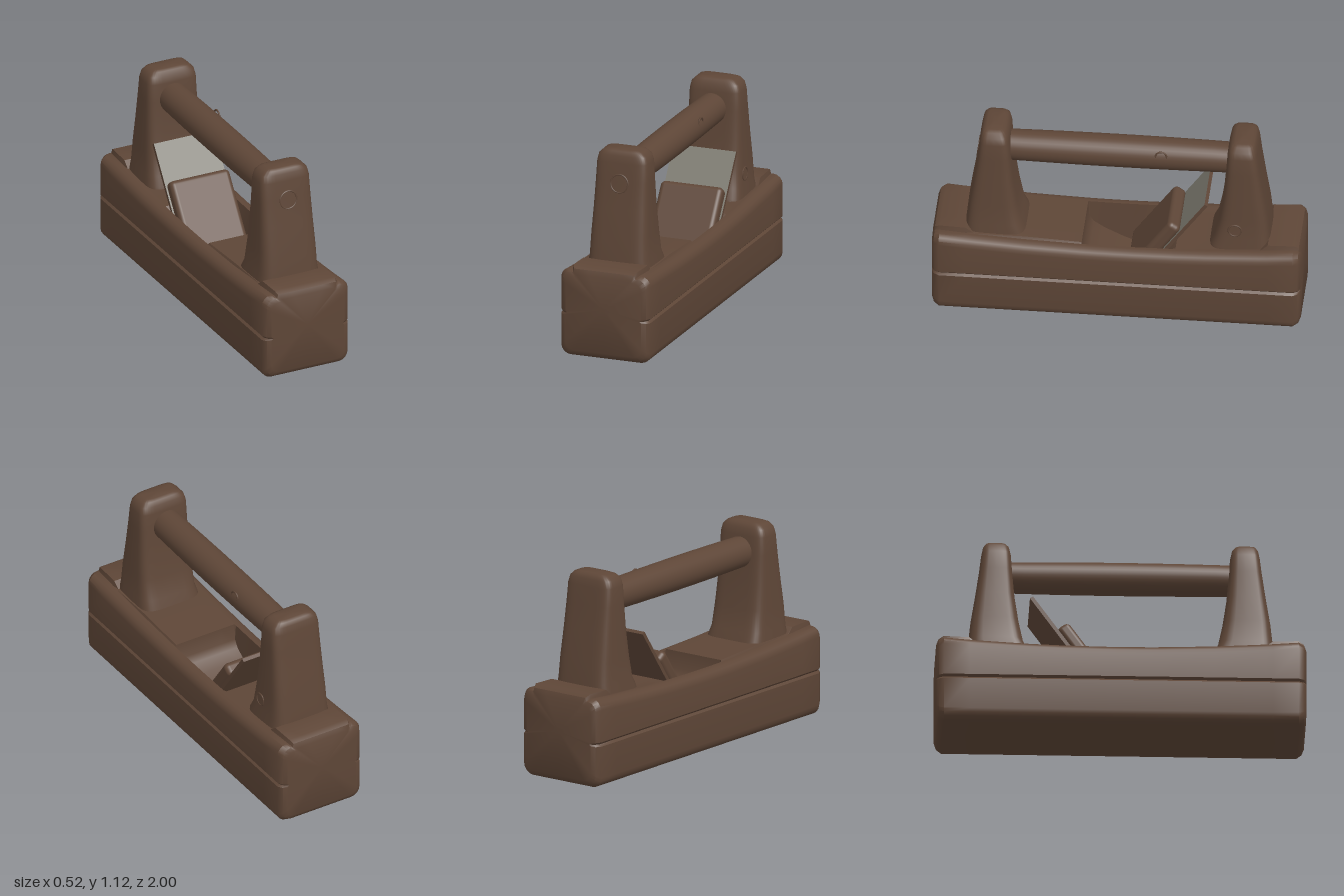
import * as THREE from 'three';
import { toCreasedNormals } from 'three/addons/utils/BufferGeometryUtils.js';
import { RoundedBoxGeometry } from 'three/addons/geometries/RoundedBoxGeometry.js';

const wood = new THREE.MeshStandardMaterial({ color: 0x5e4637 });
wood.name = 'wood';
const steel = new THREE.MeshStandardMaterial({ color: 0x7d7a70 });
steel.name = 'steel';

// Skin a list of equal-length rings and close both ends with fans
function loft(rings, crease = 0.6) {
  const n = rings[0].length, pos = [], idx = [];
  rings.forEach(r => r.forEach(p => pos.push(p[0], p[1], p[2])));
  for (let i = 0; i < rings.length - 1; i++) {
    for (let j = 0; j < n; j++) {
      const a = i * n + j, b = i * n + (j + 1) % n;
      idx.push(a, b, a + n, b, b + n, a + n);
    }
  }
  [0, rings.length - 1].forEach(i => {
    const c = pos.length / 3;
    for (let k = 0; k < 3; k++) pos.push(rings[i].reduce((s, p) => s + p[k], 0) / n);
    for (let j = 0; j < n; j++) {
      const a = i * n + j, b = i * n + (j + 1) % n;
      if (i === 0) idx.push(c, b, a); else idx.push(c, a, b);
    }
  });
  const g = new THREE.BufferGeometry();
  g.setAttribute('position', new THREE.Float32BufferAttribute(pos, 3));
  g.setIndex(idx);
  return toCreasedNormals(g, crease);
}

function add(parent, name, geo, mat, x = 0, y = 0, z = 0) {
  const m = new THREE.Mesh(geo, mat);
  m.name = name;
  m.position.set(x, y, z);
  parent.add(m);
  return m;
}

// Cross-section of the body: rounded block, side groove, and a deck/cavity floor
function bodyRing(z, floor, inset) {
  const hw = 0.26, r = 0.055, top = 0.455 + 0.045 * z * z, half = [[0, 0.005]];
  const arc = (cy, a0) => {
    for (let k = 0; k <= 4; k++) {
      const a = a0 + k * Math.PI / 8;
      half.push([hw - r + r * Math.cos(a), cy + r * Math.sin(a)]);
    }
  };
  arc(0.005 + r, -Math.PI / 2);
  half.push([hw, 0.238], [hw - 0.012, 0.25], [hw, 0.262]);
  arc(top - r, 0);
  half.push([0.192, top], [0.186, floor], [0.1, floor]);
  const left = half.slice(1).reverse().map(([x, y]) => [-x, y]);
  return [...half, [0, floor], ...left].map(([x, y]) => [
    x * (1 - inset / 0.26), 0.26 + (y - 0.26) * (1 - inset / 0.26), z]);
}

// Tapered post outline: height, inner z, outer z, half width
const POST = [
  [0.42, 0.49, 0.835, 0.185], [0.48, 0.50, 0.83, 0.182], [0.53, 0.525, 0.825, 0.172],
  [0.65, 0.55, 0.812, 0.166], [0.8, 0.572, 0.788, 0.158], [0.95, 0.585, 0.766, 0.152],
  [1.05, 0.592, 0.754, 0.148], [1.09, 0.6, 0.746, 0.138], [1.112, 0.615, 0.735, 0.115],
  [1.12, 0.632, 0.718, 0.09],
];

function postGeometry() {
  const soft = v => Math.sign(v) * Math.pow(Math.abs(v), 0.4);
  return loft(POST.map(([y, z0, z1, hx]) => {
    const ring = [];
    for (let k = 0; k < 40; k++) {
      const a = k / 40 * Math.PI * 2;
      ring.push([hx * soft(Math.cos(a)), y, (z0 + z1) / 2 - (z1 - z0) / 2 * soft(Math.sin(a))]);
    }
    return ring;
  }), 0.8);
}

export function createModel() {
  const model = new THREE.Group();
  model.name = 'woodPlane';

  // Body: z, floor height, end inset
  const stations = [
    [-1, 0.515, 0.04], [-0.988, 0.52, 0.016], [-0.96, 0.52, 0], [-0.82, 0.515, 0], [-0.78, 0.48, 0],
    [-0.49, 0.465, 0], [-0.32, 0.46, 0], [-0.3, 0.44, 0], [-0.1, 0.2, 0], [0.0, 0.24, 0], [0.1, 0.29, 0],
    [0.16, 0.33, 0], [0.185, 0.37, 0], [0.19, 0.465, 0], [0.5, 0.48, 0], [0.78, 0.485, 0],
    [0.82, 0.515, 0], [0.96, 0.52, 0], [0.988, 0.52, 0.016], [1, 0.515, 0.04],
  ];
  add(model, 'body', loft(stations.map(s => bodyRing(...s))), wood);

  // Posts with peg rings
  const postGeo = postGeometry();
  for (const front of [true, false]) {
    const post = new THREE.Group();
    post.name = front ? 'frontPost' : 'backPost';
    post.rotation.y = front ? 0 : Math.PI;
    model.add(post);
    add(post, 'post', postGeo, wood);
    if (front) {
      const ring = add(post, 'endPeg', new THREE.TorusGeometry(0.05, 0.005, 6, 28), wood, 0, 0.94, 0.766);
      ring.rotation.x = -0.12;
    } else {
      const ring = add(post, 'sidePeg', new THREE.TorusGeometry(0.035, 0.005, 6, 24), wood, -0.168, 0.59, 0.64);
      ring.rotation.y = Math.PI / 2;
    }
  }

  // Handle bar, slightly swollen in the middle
  const bar = new THREE.CylinderGeometry(0.084, 0.084, 1.24, 32, 12);
  const p = bar.attributes.position;
  for (let i = 0; i < p.count; i++) {
    const s = 1 + 0.07 * (1 - Math.pow(p.getY(i) / 0.62, 2));
    p.setX(i, p.getX(i) * s);
    p.setZ(i, p.getZ(i) * s);
  }
  bar.computeVertexNormals();
  bar.rotateX(Math.PI / 2);
  add(model, 'handle', bar, wood, -0.005, 0.956, 0);
  add(model, 'handleKnot', new THREE.TorusGeometry(0.03, 0.005, 6, 20), wood, 0.075, 0.99, -0.23)
    .rotation.y = Math.PI / 2;

  // Slanted blade with a steel face, and the wedge in front of it
  const iron = new THREE.Group();
  iron.name = 'cuttingIron';
  iron.position.set(0, 0.76, -0.485);
  iron.rotation.x = -0.61;
  model.add(iron);
  add(iron, 'blade', new THREE.BoxGeometry(0.365, 0.64, 0.02),
    [wood, wood, wood, wood, steel, wood], 0, -0.32, 0);
  add(iron, 'wedge', new RoundedBoxGeometry(0.362, 0.42, 0.078, 4, 0.028), wood, 0, -0.435, 0.046);

  return model;
}
